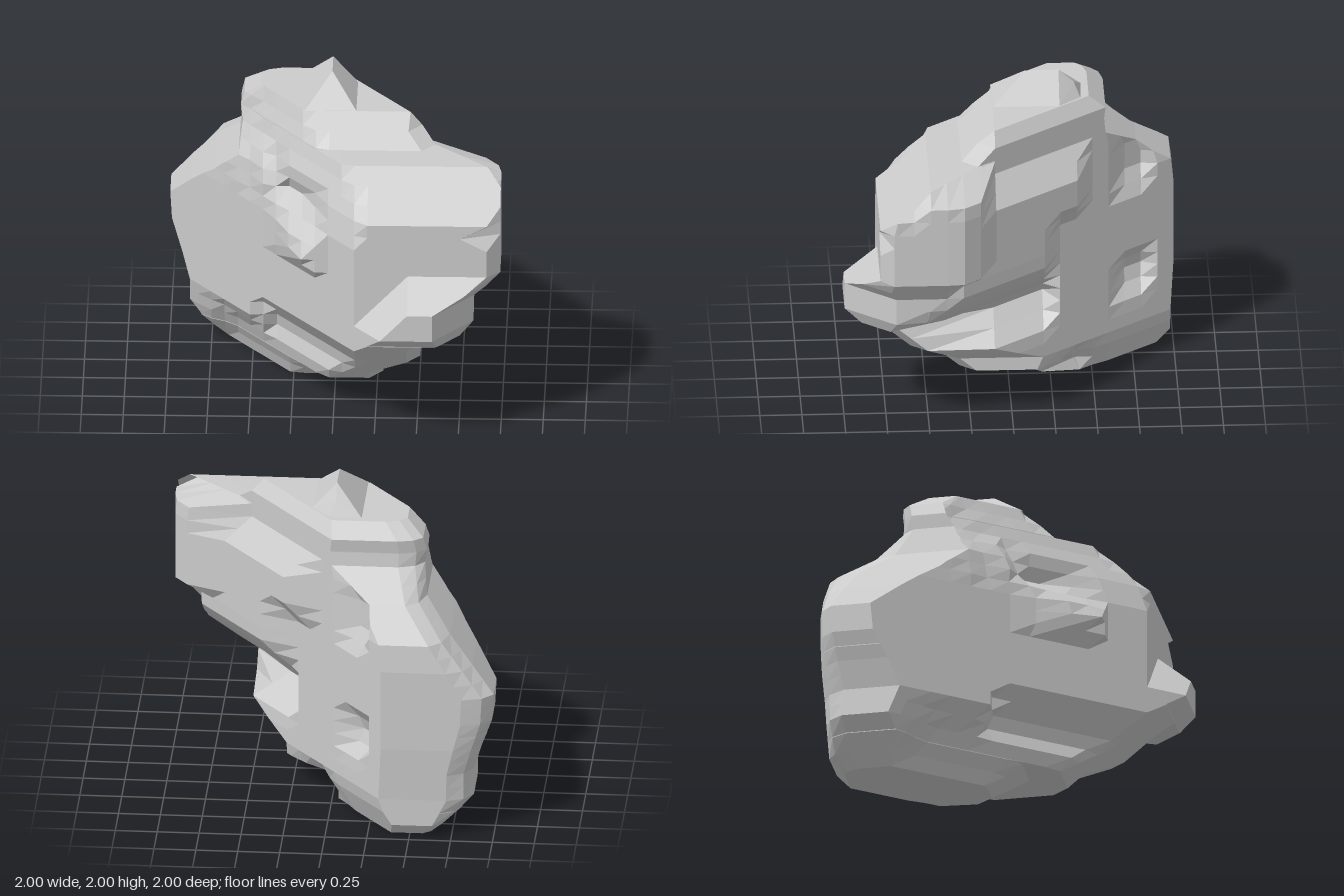
import * as THREE from 'three';
import { ConvexGeometry } from 'three/addons/geometries/ConvexGeometry.js';

const SLOPE = 1.29;      // the slab runs diagonally: z = SLOPE * x + w
const STEP = 1 / 12;     // height of one layer

// Layer outlines: [layer, xMin, xMax, zMin, zMax, wFront]
const LAYERS = [
  [0, -0.65, -0.02, -0.90, -0.10, 0.30],
  [1, -0.73, 0.06, -0.98, 0.00, 0.42],
  [1.95, -0.81, 0.13, -0.98, 0.10, 0.50],
  [2, -0.81, 0.29, -0.98, 0.30, 0.50],
  [3, -0.88, 0.29, -0.98, 0.40, 0.56],
  [5, -0.88, 0.52, -0.99, 0.60, 0.63],
  [7, -0.93, 0.52, -1.00, 0.80, 0.63],
  [7.95, -0.96, 0.60, -1.00, 0.90, 0.63],
  [8, -0.96, 0.76, -1.00, 0.90, 0.63],
  [9, -0.99, 0.84, -1.00, 1.00, 0.63],
  [11, -1.00, 0.84, -1.00, 1.00, 0.63],
  [13, -0.87, 1.00, -1.00, 0.80, 0.63],
  [15, -0.73, 1.00, -0.98, 0.80, 0.63],
  [17, -0.58, 1.00, -0.77, 0.80, 0.57],
  [19, -0.56, 1.00, -0.58, 0.60, 0.46],
  [20, -0.57, 0.92, -0.57, 0.50, 0.42],
  [20.05, -0.57, 0.60, -0.57, 0.30, 0.42],
  [21, -0.55, 0.52, -0.58, 0.20, 0.37],
  [22, -0.45, 0.45, -0.48, 0.10, 0.33],
];

// Ledges (+) and hollows (-): [from, to, yFrom, yTo, amount, fade along, fade up]
const BACK = [
  [-0.2, 1.0, 0.92, 1.42, 0.21, 0.1, 0.16],     // raised plate
  [-0.4, -0.2, 1.25, 1.42, 0.21, 0.1, 0.16],    // plate corner
  [0.2, 0.5, 1.08, 1.58, 0.41, 0.08, 0.09],     // end knob
  [-0.2, 0.7, 0.58, 0.6, -0.3, 0.1, 0.17],      // undercut
  [-0.78, -0.72, 0.56, 0.6, -0.18, 0.12, 0.15], // pit
  [-0.8, -0.7, 1.25, 1.42, -0.12, 0.1, 0.16],   // upper step
  [-0.42, -0.38, 0.08, 0.15, -0.12, 0.1, 0.1],  // foot notch
];
const FRONT = [
  [-0.22, -0.19, 1.08, 1.1, 0.2, 0.16, 0.16],   // small knob
  [-0.3, -0.16, 1.33, 1.36, -0.15, 0.1, 0.1],   // niche
  [-0.35, 0.4, 0.3, 0.42, -0.22, 0.16, 0.16],   // undercut
  [-0.62, 0.3, 0.08, 0.25, -0.13, 0.16, 0.16],  // foot slope
];

const { clamp, lerp } = THREE.MathUtils;

// 1 inside from..to, falling to 0 over the fade distance
const plateau = (v, from, to, fade) => clamp(1 - Math.max(from - v, v - to, 0) / fade, 0, 1);

function relief(list, s, y) {
  let out = 0, into = 0;
  for (const [s0, s1, y0, y1, amount, fs, fy] of list) {
    const v = amount * Math.min(plateau(s, s0, s1, fs), plateau(y, y0, y1, fy));
    out = Math.max(out, v);
    into = Math.min(into, v);
  }
  return out + into;
}

function outlineAt(k) {
  const i = Math.max(1, LAYERS.findIndex((r) => r[0] >= k));
  const p = LAYERS[i - 1], q = LAYERS[i], t = (k - p[0]) / (q[0] - p[0]);
  return p.map((v, j) => lerp(v, q[j], t));
}

// Back plane, drawn in at the foot and the top
const backPlane = (k) => -0.57 + 0.17 * clamp(1 - k / 2.5, 0, 1) + 0.09 * clamp(k - 21, 0, 1);
// Near corner bevel, wide at the nose and at the upper notch
const nearBevel = (k) => 0.08 + 0.16 * Math.max(plateau(k, 9, 11, 1.5), plateau(k, 16, 16, 1));
// Sloping nose on the near front corner
const noseLimit = (x, k) => (k < 9 ? 1 : 0.8 + 0.2 * clamp((x - 0.13 - (k - 9) * 0.08) / 0.16, 0, 1));
// Small repeatable roughness for the broken upper end
const rough = (i, k) => (((Math.abs(Math.sin(i * 12.99 + k * 78.23)) * 437.58) % 1) - 0.5) * 0.07;

function ring(k) {
  const [, a, b, c, d, f] = outlineAt(k);
  const e = backPlane(k), bevel = nearBevel(k), y = k * STEP, pts = [];
  const add = (x, z) => pts.push(new THREE.Vector3(x, y, z));
  // back face, far end to near end
  const zEnd = Math.min(d, e + SLOPE * b);
  for (let i = 0; i <= 20; i++) {
    const z = clamp(-1 + i * 0.1, c, zEnd);
    add(Math.min(b, (z - e + relief(BACK, z, y)) / SLOPE), z);
  }
  // near end
  add(b, Math.max(zEnd, d - 1.25 * bevel));
  // front face, near end to far end
  for (let i = 0; i <= 25; i++) {
    const x = clamp(0.93 - i * 0.08, a, b - bevel);
    const wear = x < -0.3 && y > 1.2 && k < 22 ? rough(i, Math.round(k)) : 0;
    add(x, Math.min(d, noseLimit(x, k), f + SLOPE * x + relief(FRONT, x, y) + wear));
  }
  // far end, bevelled
  const zA = f + SLOPE * a, xC = (c - e) / SLOPE;
  add(a, lerp(c, zA, 0.3));
  add(lerp(a, xC, 0.1), lerp(c, zA, 0.1));
  add(lerp(a, xC, 0.28), c);
  return pts;
}

function rockGeometry() {
  const levels = [...Array(23).keys(), 1.95, 7.95, 20.05].sort((p, q) => p - q);
  const rings = levels.map(ring), pos = [];
  const ab = new THREE.Vector3(), ac = new THREE.Vector3();
  const tri = (p, q, r) => {
    // collapsed corners are left out
    if (ab.subVectors(q, p).cross(ac.subVectors(r, p)).lengthSq() < 1e-12) return;
    for (const v of [p, q, r]) pos.push(v.x, v.y, v.z);
  };
  const n = rings[0].length;
  for (let k = 0; k + 1 < rings.length; k++) {
    const A = rings[k], B = rings[k + 1];
    for (let i = 0; i < n; i++) {
      const j = (i + 1) % n;
      tri(A[i], B[i], A[j]);
      tri(A[j], B[i], B[j]);
    }
  }
  // bottom and top caps
  const centre = (r) => r.reduce((s, p) => s.add(p), new THREE.Vector3()).divideScalar(n);
  const low = rings[0], high = rings[rings.length - 1];
  const cl = centre(low), ch = centre(high);
  for (let i = 0; i < n; i++) {
    const j = (i + 1) % n;
    tri(cl, low[i], low[j]);
    tri(ch, high[j], high[i]);
  }
  const g = new THREE.BufferGeometry();
  g.setAttribute('position', new THREE.Float32BufferAttribute(pos, 3));
  g.computeVertexNormals();
  return g;
}

export function createModel() {
  const group = new THREE.Group();
  group.name = 'rock';
  const stone = new THREE.MeshStandardMaterial({ color: 0xcccccc, flatShading: true, side: THREE.DoubleSide });

  const body = new THREE.Mesh(rockGeometry(), stone);
  body.name = 'rockBody';
  group.add(body);

  // Ridge on the summit
  const ridge = [
    [-0.02, 2, -0.1], [-0.02, 2, -0.3], [-0.02, 1.92, -0.39],
    [-0.18, 1.83, 0.1], [0.13, 1.83, 0.1], [0.13, 1.83, -0.3], [0.02, 1.83, -0.43], [-0.18, 1.83, -0.44],
  ].map((p) => new THREE.Vector3(...p));
  const peak = new THREE.Mesh(new ConvexGeometry(ridge), stone);
  peak.name = 'peak';
  group.add(peak);

  return group;
}
